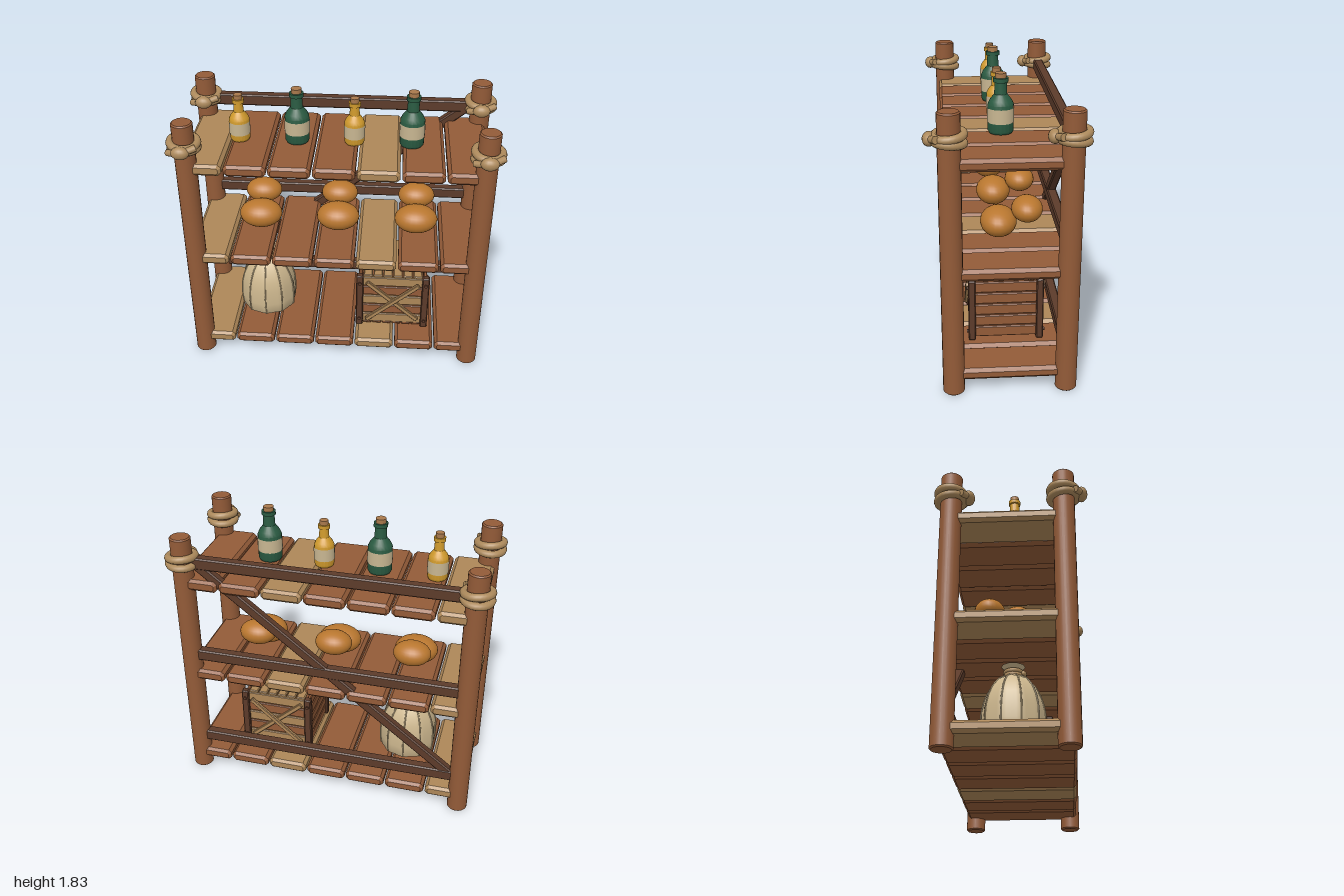
import * as THREE from 'three';
import { toCreasedNormals } from 'three/addons/utils/BufferGeometryUtils.js';

const mat = (name, color, side = THREE.FrontSide) => {
  const m = new THREE.MeshStandardMaterial({ color, side });
  m.name = name;
  return m;
};

export function createModel() {
  const root = new THREE.Group();
  root.name = 'storageShelf';
  const wood = mat('brown wood', 0x935b38);
  const light = mat('light wood', 0xad8758);
  const dark = mat('dark wood', 0x5c3b2a);
  const rope = mat('rope', 0xad8a5c);
  const cloth = mat('sack cloth', 0xcdb78e, THREE.DoubleSide);
  const fruit = mat('orange fruit', 0xb9772f);
  const green = mat('green glass', 0x2a5b42);
  const amber = mat('amber glass', 0xd09a2c);
  const paper = mat('label paper', 0xc8b691);
  const cork = mat('cork', 0xa9794c);

  const group = (name, parent = root) => {
    const g = new THREE.Group();
    g.name = name;
    parent.add(g);
    return g;
  };
  const add = (parent, name, geo, material, x = 0, y = 0, z = 0) => {
    const m = new THREE.Mesh(geo, material);
    m.name = name;
    m.position.set(x, y, z);
    parent.add(m);
    return m;
  };
  // Box with every edge chamfered by b
  const chamferBox = (w, h, d, b) => {
    const x = w / 2 - b, y = h / 2 - b, c = b * 0.6;
    const s = new THREE.Shape([
      [-x + c, -y], [x - c, -y], [x, -y + c], [x, y - c],
      [x - c, y], [-x + c, y], [-x, y - c], [-x, -y + c],
    ].map(p => new THREE.Vector2(...p)));
    const g = new THREE.ExtrudeGeometry(s, {
      depth: d - 2 * b, bevelEnabled: true, bevelSize: b, bevelThickness: b, bevelSegments: 1,
    });
    return g.translate(0, 0, -d / 2 + b);
  };
  const lathe = (pts, n = 20) => toCreasedNormals(
    new THREE.LatheGeometry(pts.map(p => new THREE.Vector2(...p)), n), 0.5);

  // Corner posts with rope lashings
  const backZ = -0.355, frontZ = 0.317, postX = 0.895;
  const postGeo = lathe([[0, 0], [0.057, 0], [0.065, 0.008], [0.065, 1.727], [0.057, 1.735], [0, 1.735]]);
  const coil = new THREE.TorusGeometry(0.081, 0.024, 10, 28).rotateX(Math.PI / 2);
  for (const side of [-1, 1]) for (const z of [frontZ, backZ]) {
    add(root, 'post', postGeo, wood, side * postX, 0, z);
    const lash = group('ropeLashing');
    lash.position.set(side * postX, 1.585, z);
    const lower = add(lash, 'ropeCoil', coil, rope, 0, -0.02, 0);
    lower.rotation.set(-0.09, 0, 0.05);
    const upper = add(lash, 'ropeCoil', coil, rope, 0, 0.02, 0);
    upper.rotation.set(0.09, 0, -0.07);
    const knot = add(lash, 'ropeKnot', new THREE.SphereGeometry(1, 16, 12), rope, 0, 0, 0.105);
    knot.scale.set(0.055, 0.04, 0.037);
    for (const s of [-1, 1]) {
      const end = add(lash, 'ropeEnd', new THREE.CylinderGeometry(0.02, 0.022, 0.07, 10), rope, s * 0.055, s * 0.012, 0.085);
      end.rotation.set(0, s * 0.5, Math.PI / 2 + 0.2);
    }
  }

  // Three shelves of seven planks
  const plankGeo = chamferBox(0.256, 0.075, 0.762, 0.017);
  for (const y of [0.118, 0.772, 1.432]) {
    const shelf = group('shelf');
    for (let i = 0; i < 7; i++)
      add(shelf, 'plank', plankGeo, i % 4 === 0 ? light : wood, (i - 3) * 0.268 - 0.005, y, -0.021);
  }

  // Back rails and diagonal brace
  const railGeo = chamferBox(1.72, 0.075, 0.064, 0.008);
  for (const y of [0.26, 0.915, 1.575]) add(root, 'backRail', railGeo, dark, 0, y, backZ);
  const brace = add(root, 'diagonalBrace', chamferBox(2.16, 0.062, 0.056, 0.008), dark, 0, 0.925, backZ);
  brace.rotation.z = Math.atan2(1.35, 1.7);

  // Bottles on the top shelf
  const bottle = (x, glass, r, body, shoulder, top, label) => {
    const b = group('bottle');
    b.position.set(x, 1.475, 0.008);
    const n = r * 0.5;
    add(b, 'glass', lathe([[0, 0], [r * 0.9, 0], [r, 0.014], [r, body], [r * 0.86, body + (shoulder - body) * 0.4],
      [n, shoulder], [n * 0.92, top - 0.028], [n * 1.15, top - 0.025], [n * 1.15, top], [0, top]]), glass);
    add(b, 'cork', new THREE.CylinderGeometry(n * 0.85, n * 0.85, 0.03, 16), cork, 0, top + 0.013, 0);
    add(b, 'label', new THREE.CylinderGeometry(r + 0.003, r + 0.003, label[1] - label[0], 20, 1, true), paper,
      0, (label[0] + label[1]) / 2, 0);
  };
  for (const x of [-0.255, 0.455]) bottle(x, green, 0.076, 0.17, 0.23, 0.325, [0.065, 0.15]);
  for (const x of [-0.615, 0.1]) bottle(x, amber, 0.063, 0.14, 0.19, 0.273, [0.045, 0.125]);

  // Fruit pairs on the middle shelf
  const ball = new THREE.SphereGeometry(1, 24, 16);
  for (const x of [-0.51, 0, 0.51]) {
    const pair = group('fruitPair');
    add(pair, 'frontFruit', ball, fruit, x, 0.932, 0.025).scale.set(0.14, 0.09, 0.111);
    add(pair, 'rearFruit', ball, fruit, x, 1.007, -0.148).scale.set(0.12, 0.078, 0.095);
  }

  // Tied sack with raised seams
  const sack = group('sack');
  sack.position.set(-0.49, 0.165, -0.005);
  const profile = [[0.15, 0.012], [0.18, 0.025], [0.186, 0.1], [0.181, 0.2], [0.165, 0.27],
    [0.14, 0.33], [0.1, 0.385], [0.055, 0.415], [0.036, 0.44], [0.038, 0.455], [0.07, 0.483]];
  const sackGeo = new THREE.LatheGeometry([[0, 0.012], ...profile].map(p => new THREE.Vector2(...p)), 40);
  const p = sackGeo.attributes.position;
  for (let i = 0; i < p.count; i++) {
    const k = 1 + 0.022 * Math.cos(10 * Math.atan2(p.getX(i), p.getZ(i)));
    p.setXYZ(i, p.getX(i) * k, p.getY(i), p.getZ(i) * k);
  }
  sackGeo.computeVertexNormals();
  add(sack, 'sackBody', sackGeo, cloth);
  for (let i = 0; i < 10; i++) {
    const path = new THREE.CatmullRomCurve3(profile.slice(1, 8).map(([r, y]) => new THREE.Vector3(0, y, r * 1.022)));
    add(sack, 'sackSeam', new THREE.TubeGeometry(path, 16, 0.005, 5), cloth).rotation.y = i * Math.PI / 5;
  }
  for (const y of [0.422, 0.446])
    add(sack, 'sackTie', new THREE.TorusGeometry(0.046, 0.015, 8, 20).rotateX(Math.PI / 2), rope, 0, y, 0);
  add(sack, 'tieKnot', ball, rope, 0, 0.434, 0.06).scale.set(0.032, 0.022, 0.02);

  // Slatted crate
  const crate = group('crate');
  crate.position.set(0.377, 0.372, -0.016);
  const slatTone = i => (i % 2 ? wood : light);
  for (let i = 0; i < 5; i++) {
    const y = (i - 2) * 0.077;
    for (const s of [-1, 1]) {
      add(crate, 'faceSlat', chamferBox(0.42, 0.07, 0.025, 0.005), slatTone(i), 0, y, s * 0.2);
      add(crate, 'sideSlat', chamferBox(0.025, 0.07, 0.4, 0.005), wood, s * 0.215, y, 0);
    }
  }
  for (let i = 0; i < 6; i++) {
    const x = (i - 2.5) * 0.066;
    add(crate, 'topSlat', chamferBox(0.06, 0.022, 0.42, 0.005), light, x, 0.195, 0);
    add(crate, 'bottomSlat', chamferBox(0.06, 0.022, 0.42, 0.005), wood, x, -0.195, 0);
  }
  for (const s of [-1, 1]) {
    for (const t of [-1, 1]) {
      add(crate, 'cratePost', chamferBox(0.048, 0.412, 0.045, 0.006), dark, s * 0.219, 0, t * 0.21);
      for (const y of [-0.15, 0.15])
        add(crate, 'bolt', new THREE.CylinderGeometry(0.011, 0.011, 0.012, 10).rotateX(Math.PI / 2), dark, s * 0.219, y, t * 0.236);
      // Crossed battens on the front and back
      add(crate, 'crossBatten', chamferBox(0.46, 0.03, 0.024, 0.004), light, 0, 0, s * (0.226 + t * 0.009))
        .rotation.z = t * 0.72;
    }
  }
  return root;
}
